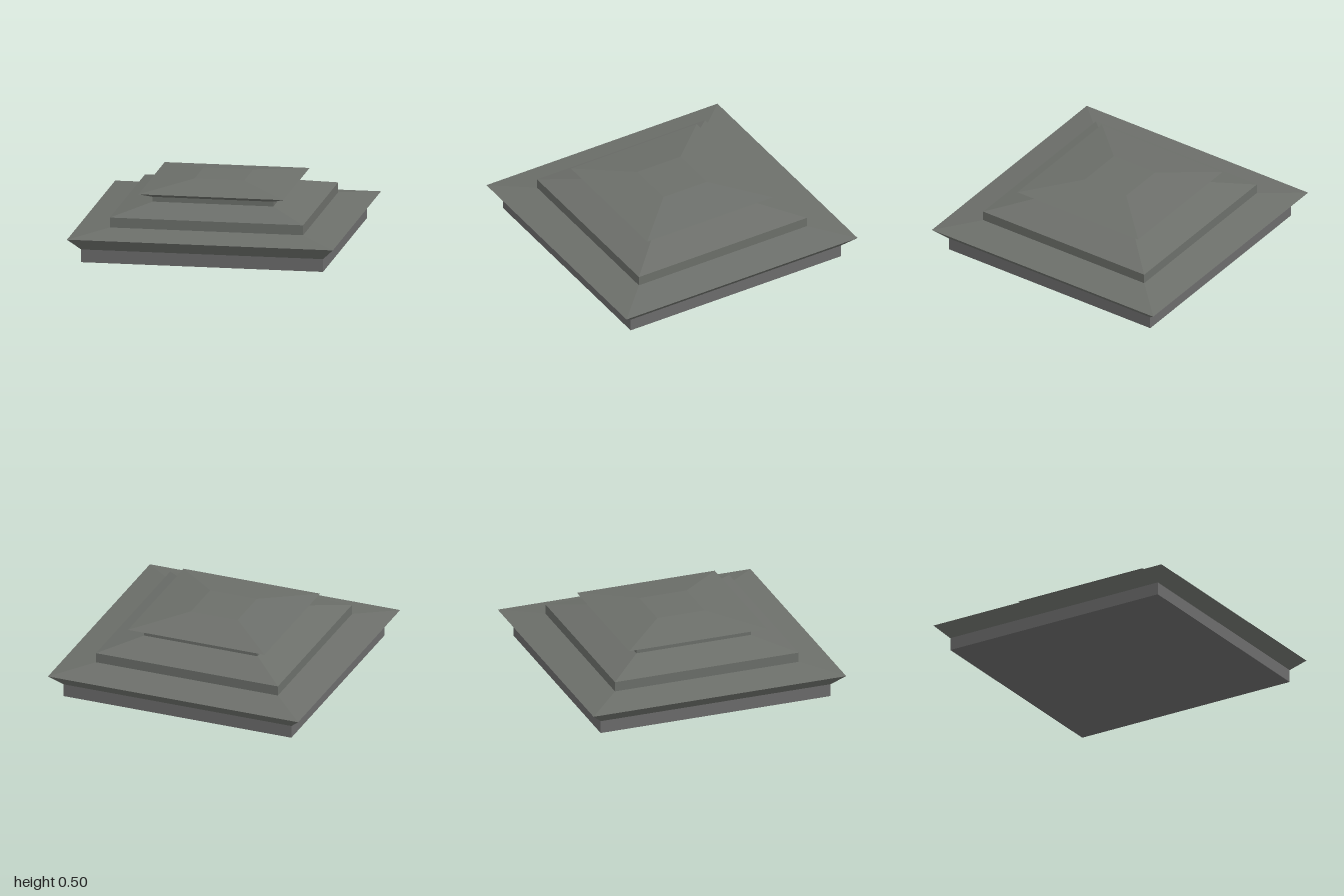
import * as THREE from 'three';

const baseStone = new THREE.MeshStandardMaterial({ color: 0x6c6c6c, flatShading: true });
baseStone.name = 'neutral grey base';
const roofStone = new THREE.MeshStandardMaterial({ color: 0x6c6f6a, flatShading: true });
roofStone.name = 'warm grey roof';

// Square frustum given by half widths and heights at its bottom and top
function tier(name, bottom, top, y0, y1, material, capped = false) {
  const s = Math.SQRT2;
  const geometry = new THREE.CylinderGeometry(top * s, bottom * s, y1 - y0, 4, 1, !capped);
  geometry.rotateY(Math.PI / 4);
  geometry.translate(0, (y0 + y1) / 2, 0);
  const mesh = new THREE.Mesh(geometry, material);
  mesh.name = name;
  return mesh;
}

export function createModel() {
  const group = new THREE.Group();
  group.name = 'tieredRoof';
  group.add(
    // Base and wide lower eave
    tier('basePlinth', 0.91, 0.91, 0, 0.097, baseStone, true),
    tier('lowerEaveUnderside', 0.91, 1, 0.097, 0.187, roofStone),
    tier('lowerRoof', 1, 0.727, 0.187, 0.23, roofStone),
    // Middle step
    tier('middleWall', 0.727, 0.727, 0.23, 0.305, roofStone),
    tier('middleRoof', 0.727, 0.454, 0.305, 0.376, roofStone),
    // Neck and capped upper roof
    tier('neck', 0.454, 0.454, 0.376, 0.412, roofStone),
    tier('upperEaveUnderside', 0.454, 0.545, 0.412, 0.448, roofStone),
    tier('upperRoof', 0.545, 0.187, 0.448, 0.503, roofStone, true),
  );
  return group;
}
